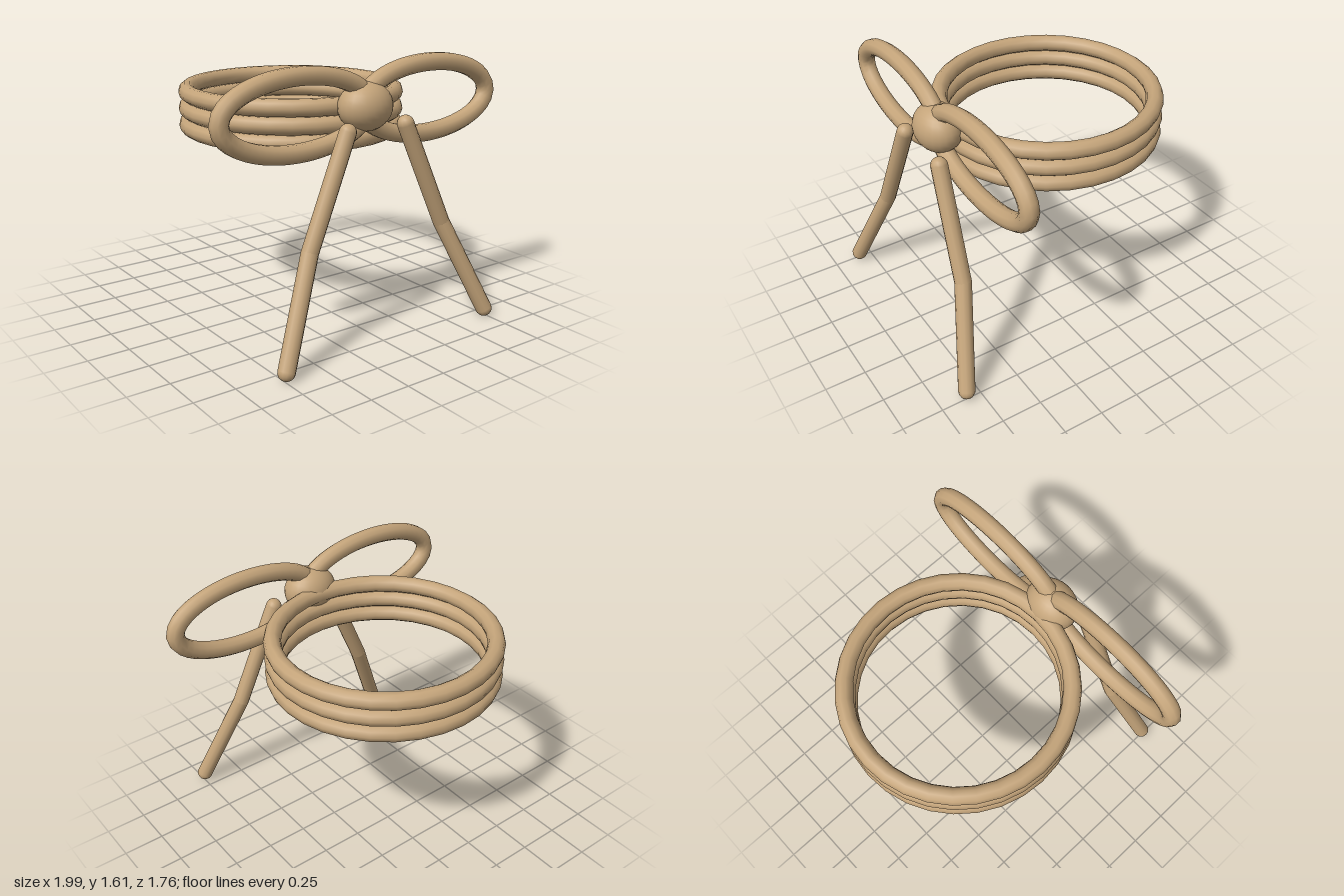
import * as THREE from 'three';

class EllipseLoop extends THREE.Curve {
  constructor(rx, ry) {
    super();
    this.rx = rx;
    this.ry = ry;
  }
  getPoint(t, target = new THREE.Vector3()) {
    const a = t * Math.PI * 2;
    return target.set(this.rx * Math.cos(a), this.ry * Math.sin(a), 0);
  }
}

export function createModel() {
  const model = new THREE.Group();
  model.name = 'ropeBow';
  const rope = new THREE.MeshStandardMaterial({ color: 0xc4a47a });

  function add(name, geometry, x, y, z, parent = model) {
    const mesh = new THREE.Mesh(geometry, rope);
    mesh.name = name;
    mesh.position.set(x, y, z);
    parent.add(mesh);
    return mesh;
  }

  // Three stacked rope coils
  const coil = new THREE.TorusGeometry(0.643, 0.052, 10, 32).rotateX(Math.PI / 2);
  for (let i = 0; i < 3; i++) add('coil' + (i + 1), coil, 0, 1.142 + i * 0.103, -0.185);

  // Bow loops on either side of the knot
  const loop = new THREE.TubeGeometry(new EllipseLoop(0.485, 0.209), 48, 0.054, 10, true);
  add('leftLoop', loop, 0.461, 1.352, 0.55);
  add('rightLoop', loop, -0.461, 1.352, 0.55);

  // Flattened knot
  const knot = add('knot', new THREE.SphereGeometry(1, 24, 16), 0, 1.35, 0.55);
  knot.scale.set(0.17, 0.142, 0.138);

  // Hanging tails, each bent once and rounded at the ends
  const up = new THREE.Vector3(0, 1, 0);
  for (const side of [1, -1]) {
    const tail = new THREE.Group();
    tail.name = side > 0 ? 'leftTail' : 'rightTail';
    model.add(tail);
    const points = [[0.207, 1.245, 0.658], [0.483, 0.62, 0.69], [0.735, 0.05, 0.832]]
      .map(([x, y, z]) => new THREE.Vector3(x * side, y, z));
    for (let i = 0; i < 2; i++) {
      const span = points[i].clone().sub(points[i + 1]);
      const mid = points[i].clone().add(points[i + 1]).multiplyScalar(0.5);
      const part = add(i ? 'lowerTail' : 'upperTail',
        new THREE.CapsuleGeometry(0.05, span.length(), 6, 12), mid.x, mid.y, mid.z, tail);
      part.quaternion.setFromUnitVectors(up, span.normalize());
    }
  }
  return model;
}
